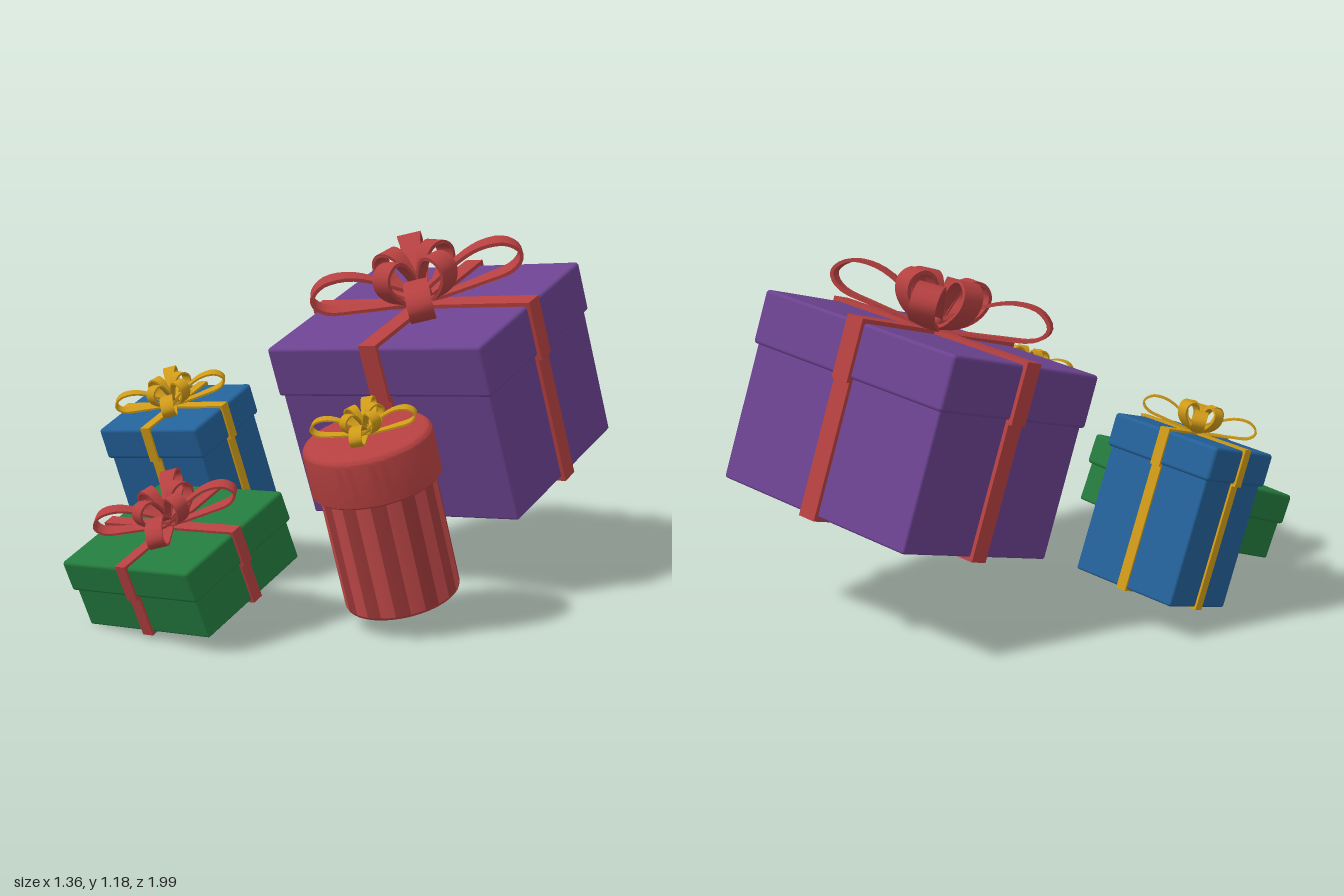
import * as THREE from 'three';
import { toCreasedNormals } from 'three/addons/utils/BufferGeometryUtils.js';
import { RoundedBoxGeometry } from 'three/addons/geometries/RoundedBoxGeometry.js';

const paint = (color) => new THREE.MeshStandardMaterial({ color });
const PURPLE = paint(0x6b428f), GREEN = paint(0x237a3d), BLUE = paint(0x236199);
const RED = paint(0xb54040), DARK_RED = paint(0xa23a3a), LIGHT_RED = paint(0xc94c4c), GOLD = paint(0xcf9a18);

function add(parent, name, geometry, material, y = 0) {
  const mesh = new THREE.Mesh(geometry, material);
  mesh.name = name;
  mesh.position.y = y;
  parent.add(mesh);
  return mesh;
}

// One ribbon loop: a thin teardrop strip, narrower towards the knot
function loopGeometry(points, width, thick) {
  const curve = new THREE.SplineCurve(points.map(([x, y]) => new THREE.Vector2(x, y)));
  const inner = [], outer = [];
  for (let i = 0; i <= 32; i++) {
    const p = curve.getPoint(i / 32), t = curve.getTangent(i / 32);
    inner.push(p);
    outer.push(new THREE.Vector2(p.x - t.y * thick, p.y + t.x * thick));
  }
  const shape = new THREE.Shape([...inner, ...outer.reverse()]);
  const g = new THREE.ExtrudeGeometry(shape, { depth: width, bevelEnabled: false });
  g.translate(0, 0, -width / 2);
  const p = g.attributes.position;
  const reach = Math.max(...points.map((q) => q[0]));
  for (let i = 0; i < p.count; i++) {
    const k = THREE.MathUtils.clamp(p.getX(i) / (reach * 0.8), 0, 1);
    p.setZ(i, p.getZ(i) * (0.45 + 0.55 * k));
  }
  return toCreasedNormals(g, 0.7);
}

// Long loops lie low on the diagonals, short ones stand up between them
const LONG = loopGeometry([[0, 0.02], [0.09, 0.08], [0.21, 0.14], [0.31, 0.145], [0.36, 0.1],
  [0.32, 0.055], [0.21, 0.035], [0.09, 0.018], [0, 0.005]], 0.085, 0.012);
const SHORT = loopGeometry([[0, 0.02], [0.03, 0.1], [0.07, 0.16], [0.12, 0.172], [0.155, 0.14],
  [0.145, 0.09], [0.09, 0.04], [0, 0.01]], 0.075, 0.012);

function bow(scale, material) {
  const g = new THREE.Group();
  g.name = 'bow';
  for (let i = 0; i < 4; i++) {
    add(g, 'longLoop', LONG, material).rotation.y = 0.57 + i * Math.PI / 2;
    add(g, 'shortLoop', SHORT, material).rotation.y = 1.34 + i * Math.PI / 2;
  }
  add(g, 'knot', new RoundedBoxGeometry(0.07, 0.05, 0.07, 3, 0.02), material, 0.025);
  g.scale.setScalar(scale);
  return g;
}

// Outline of body plus overhanging lid, grown by e
function outline(half, H, lidH, inset, e) {
  const a = half + e, b = half - inset + e, y = H - lidH - e;
  return [[-b, -e], [b, -e], [b, y], [a, y], [a, H + e], [-a, H + e], [-a, y], [-b, y]]
    .map(([px, py]) => new THREE.Vector2(px, py));
}

// Ribbon band running all the way round the box
function bandGeometry(size, H, lidH, inset, width) {
  const shape = new THREE.Shape(outline(size / 2, H, lidH, inset, width * 0.2));
  shape.holes.push(new THREE.Path(outline(size / 2, H, lidH, inset, -0.002)));
  return new THREE.ExtrudeGeometry(shape, { depth: width, bevelEnabled: false }).translate(0, 0, -width / 2);
}

function placed(name, position, tilt, turn) {
  const g = new THREE.Group();
  g.name = name;
  g.position.set(...position);
  g.rotation.set(tilt, turn, 0);
  return g;
}

function boxGift({ name, position, tilt, turn, w, h, d, lid, ribbon, bowScale, paper, trim }) {
  const g = placed(name, position, tilt, turn);
  const inset = 0.012, bodyH = h - lid + 0.02;
  add(g, 'body', new RoundedBoxGeometry(w - 2 * inset, bodyH, d - 2 * inset, 3, 0.008), paper, bodyH / 2);
  add(g, 'lid', new RoundedBoxGeometry(w, lid, d, 3, 0.012), paper, h - lid / 2);
  add(g, 'ribbonAcross', bandGeometry(w, h, lid, inset, ribbon), trim);
  add(g, 'ribbonAlong', bandGeometry(d, h, lid, inset, ribbon), trim).rotation.y = Math.PI / 2;
  const b = bow(bowScale, trim);
  b.position.y = h + ribbon * 0.15;
  g.add(b);
  return g;
}

function roundGift() {
  const g = placed('roundGift', [0.468, 0.1, 0.075], 0.27, 0);
  const r = 0.188, H = 0.565, lidH = 0.165, R = 0.21, n = 24;
  // Striped body from alternating wall segments
  for (let i = 0; i < n; i++) {
    const wall = new THREE.CylinderGeometry(r, r, H - 0.07, 3, 1, true, i * 2 * Math.PI / n, 2 * Math.PI / n);
    add(g, 'stripe', wall, i % 2 ? DARK_RED : LIGHT_RED, (H - 0.07) / 2 + 0.012);
  }
  const base = [[0, 0], [r - 0.012, 0], [r - 0.003, 0.004], [r, 0.012]];
  const lathe = (pts) => toCreasedNormals(
    new THREE.LatheGeometry(pts.map(([x, y]) => new THREE.Vector2(x, y)), 72), 0.6);
  add(g, 'base', lathe(base), RED);
  // Lid with a softly rounded rim
  const lid = [[r - 0.01, 0], [R - 0.006, 0], [R, 0.006]];
  for (let i = 0; i <= 6; i++) {
    const a = i / 6 * Math.PI / 2;
    lid.push([R - 0.025 + 0.025 * Math.cos(a), lidH - 0.025 + 0.025 * Math.sin(a)]);
  }
  lid.push([0, lidH]);
  add(g, 'lid', lathe(lid), RED, H - lidH);
  const b = bow(0.46, GOLD);
  b.position.y = H;
  b.rotation.y = 0.2;
  g.add(b);
  return g;
}

export function createModel() {
  const model = new THREE.Group();
  model.name = 'giftPile';
  model.add(
    boxGift({ name: 'largeGift', position: [0, 0.34, -0.555], tilt: 0.297, turn: 0.356,
      w: 0.85, h: 0.633, d: 0.73, lid: 0.18, ribbon: 0.068, bowScale: 1, paper: PURPLE, trim: RED }),
    boxGift({ name: 'flatGift', position: [0.056, 0.106, 0.606], tilt: 0.358, turn: 0.286,
      w: 0.54, h: 0.242, d: 0.506, lid: 0.108, ribbon: 0.042, bowScale: 0.64, paper: GREEN, trim: RED }),
    boxGift({ name: 'tallGift', position: [-0.428, 0.1, 0.207], tilt: 0.314, turn: 0.387,
      w: 0.412, h: 0.535, d: 0.355, lid: 0.112, ribbon: 0.036, bowScale: 0.52, paper: BLUE, trim: GOLD }),
    roundGift(),
  );
  return model;
}
